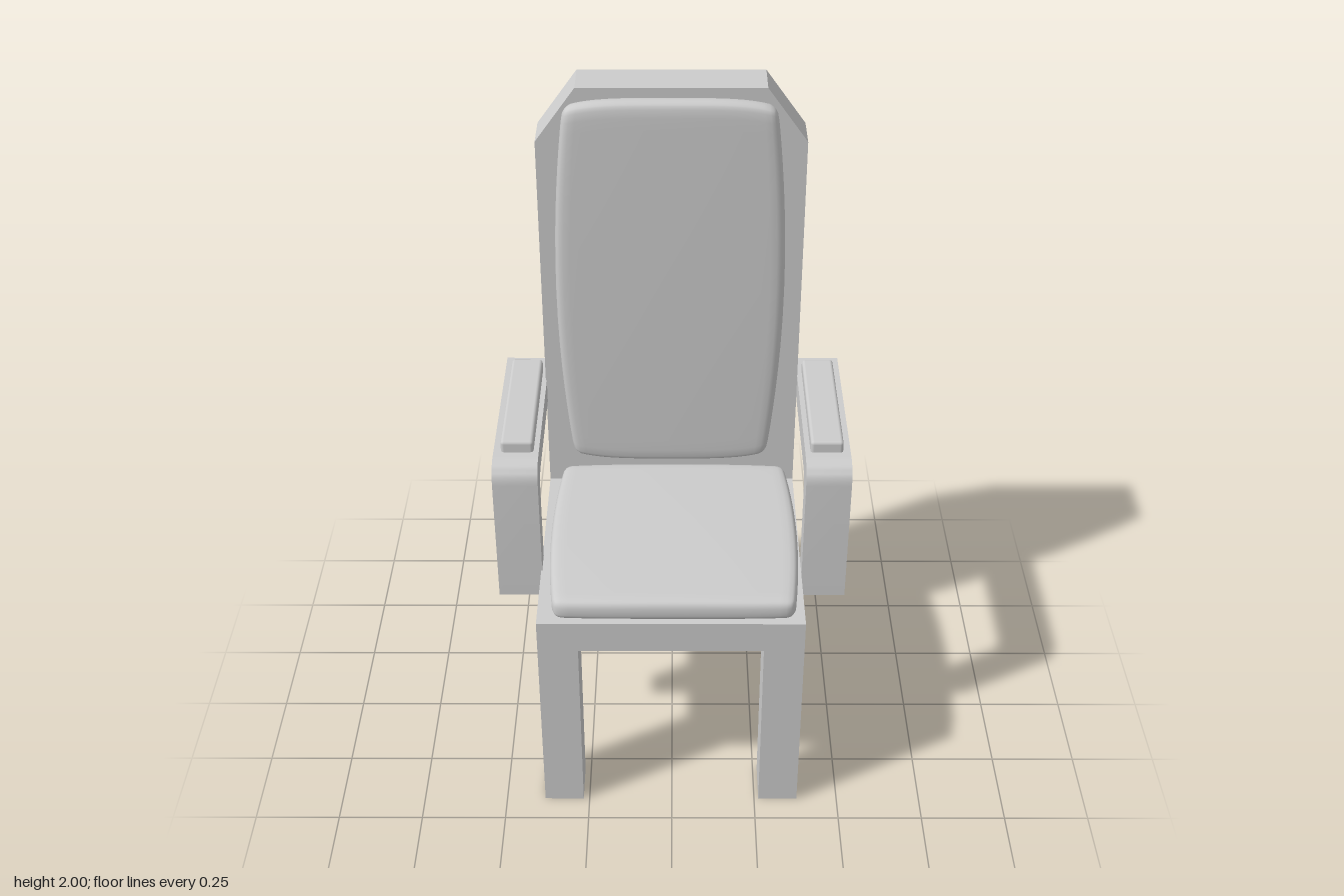
import * as THREE from 'three';
import { RoundedBoxGeometry } from 'three/addons/geometries/RoundedBoxGeometry.js';
import { mergeVertices, toCreasedNormals } from 'three/addons/utils/BufferGeometryUtils.js';

const material = new THREE.MeshStandardMaterial({ color: 0xcccccc });

function add(parent, name, geometry, x = 0, y = 0, z = 0) {
  const mesh = new THREE.Mesh(geometry, material);
  mesh.name = name;
  mesh.position.set(x, y, z);
  parent.add(mesh);
  return mesh;
}

// Box given by its lower and upper corners
function addBox(parent, name, [x0, y0, z0], [x1, y1, z1]) {
  const geometry = new THREE.BoxGeometry(x1 - x0, y1 - y0, z1 - z0);
  return add(parent, name, geometry, (x0 + x1) / 2, (y0 + y1) / 2, (z0 + z1) / 2);
}

// Padded cushion lying in xy, facing +z: rounded edges, bowed sides, crowned face
function cushionGeometry(w, h, t, r, bowX, bowY, crown) {
  const geometry = new THREE.BoxGeometry(2, 2, 2, 22, 22, 10);
  geometry.deleteAttribute('uv');
  geometry.deleteAttribute('normal');
  const half = new THREE.Vector3(w / 2, h / 2, t / 2);
  const inner = half.clone().subScalar(r);
  const p = new THREE.Vector3(), core = new THREE.Vector3();
  const pos = geometry.attributes.position;
  // Crowd the grid lines towards the edges, where the rounding is
  const ease = (u) => Math.sign(u) * (1 - (1 - Math.abs(u)) ** 2);
  for (let i = 0; i < pos.count; i++) {
    p.fromBufferAttribute(pos, i);
    p.set(ease(p.x), ease(p.y), ease(p.z)).multiply(half);
    core.copy(p).clamp(inner.clone().negate(), inner);
    p.sub(core).setLength(r).add(core);
    const u = p.x / half.x, v = p.y / half.y;
    const z = (p.z + half.z) * (1 - crown * (u * u + v * v) / 2);
    pos.setXYZ(i, p.x * (1 - bowX * v * v), p.y * (1 - bowY * u ** 4), z);
  }
  const smooth = mergeVertices(geometry, 1e-5);
  smooth.computeVertexNormals();
  return smooth;
}

// Bent arm profile (z across, y up) with rounded front corner
function armGeometry(width) {
  const s = new THREE.Shape();
  s.moveTo(0.178, 0.6);
  s.lineTo(0.178, 0.995);
  s.quadraticCurveTo(0.178, 1.055, 0.115, 1.055);
  s.lineTo(-0.422, 1.055);
  s.lineTo(-0.422, 0.98);
  s.lineTo(0.155 - 0.1, 0.98);
  s.quadraticCurveTo(0.105, 0.98, 0.105, 0.925);
  s.lineTo(0.105, 0.6);
  s.closePath();
  const geometry = new THREE.ExtrudeGeometry(s, { depth: width, bevelEnabled: false, curveSegments: 8 });
  geometry.translate(0, 0, -width / 2).rotateY(-Math.PI / 2);
  return toCreasedNormals(geometry, 0.5);
}

export function createModel() {
  const chair = new THREE.Group();
  chair.name = 'armchair';
  const left = 0.379, right = -0.384, legWidth = 0.116;
  const front = 0.42, back = -0.42, backFace = -0.29;

  // Seat and legs
  addBox(chair, 'seat', [right, 0.59, backFace], [left, 0.69, front]);
  for (const x of [right, left - legWidth]) {
    addBox(chair, 'frontLeg', [x, 0, front - 0.13], [x + legWidth, 0.59, front]);
    addBox(chair, 'backLeg', [x, 0, back], [x + legWidth, 0.59, backFace]);
  }

  // Tall backrest with clipped top corners
  const panel = new THREE.Shape([
    [right, 0.59], [left, 0.59], [left, 1.84], [left - legWidth, 2],
    [right + legWidth, 2], [right, 1.84],
  ].map(([x, y]) => new THREE.Vector2(x, y)));
  add(chair, 'backrest', new THREE.ExtrudeGeometry(panel, { depth: backFace - back, bevelEnabled: false }), 0, 0, back);

  // Cushions
  add(chair, 'backCushion', cushionGeometry(0.665, 1.185, 0.065, 0.03, 0.11, 0.04, 0.12),
    -0.006, 1.388, backFace);
  const seatCushion = add(chair, 'seatCushion', cushionGeometry(0.73, 0.7, 0.075, 0.028, 0.06, 0.02, 0.12),
    0.006, 0.69, 0.064);
  seatCushion.rotation.x = -Math.PI / 2;

  // Arms with padded tops
  for (const side of [-1, 1]) {
    const arm = new THREE.Group();
    arm.name = side > 0 ? 'leftArm' : 'rightArm';
    arm.position.x = side * 0.446;
    add(arm, 'armFrame', armGeometry(0.13));
    add(arm, 'armPad', new RoundedBoxGeometry(0.094, 0.045, 0.455, 3, 0.01), -side * 0.003, 1.068, -0.132);
    chair.add(arm);
  }
  return chair;
}
